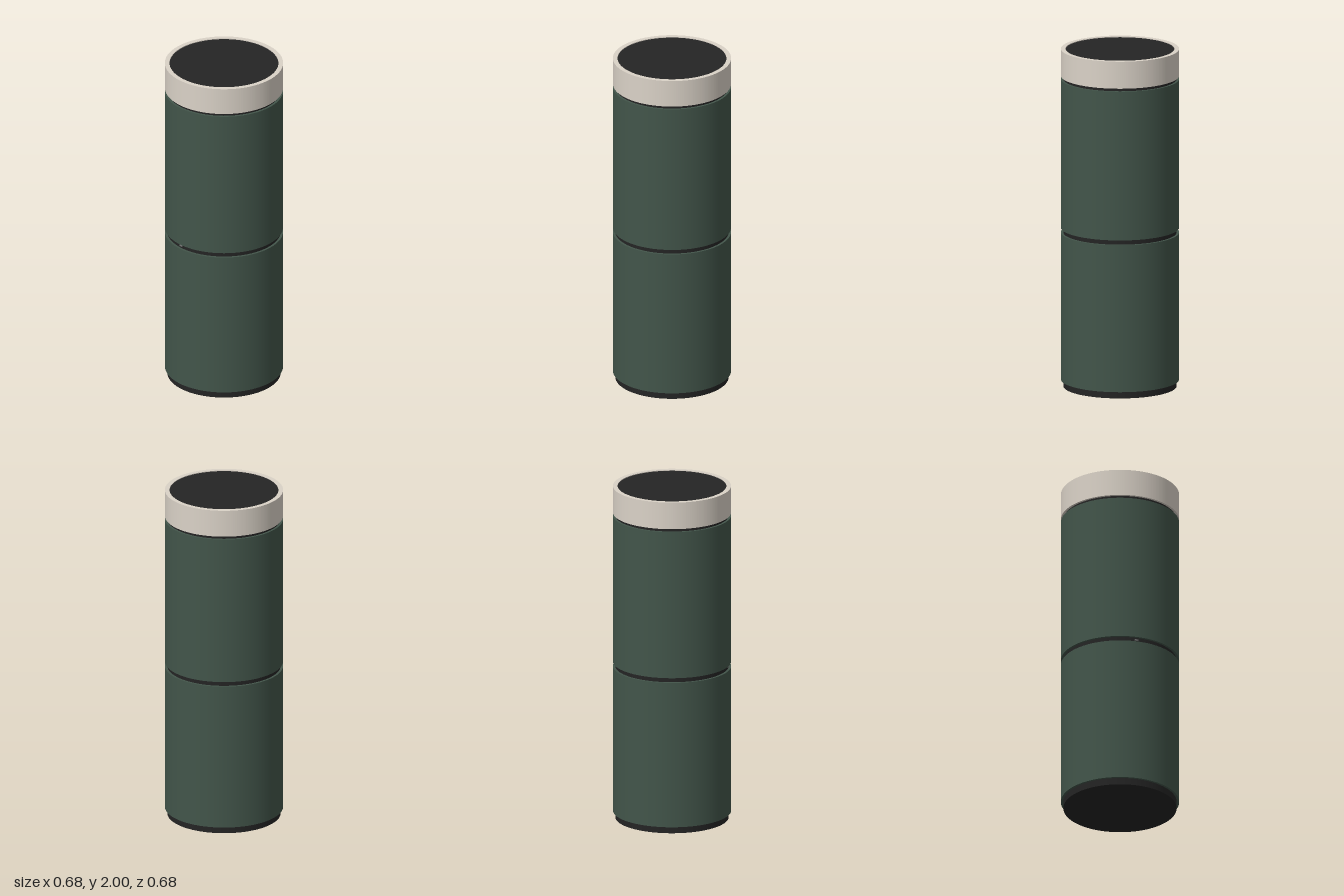
import * as THREE from 'three';

const R = 0.342, CORE = 0.328, SEG = 96;

export function createModel() {
  const model = new THREE.Group();
  const mat = (name, color) => {
    const m = new THREE.MeshStandardMaterial({ color });
    m.name = name;
    return m;
  };
  const green = mat('dark green', 0x42554a);
  const cream = mat('warm cream', 0xdad2c7);
  const black = mat('soft black', 0x242424);
  const grey = mat('grey', 0x777777);

  const add = (name, geometry, material) => {
    const mesh = new THREE.Mesh(geometry, material);
    mesh.name = name;
    model.add(mesh);
    return mesh;
  };
  const drum = (name, radius, y0, y1, material) => {
    add(name, new THREE.CylinderGeometry(radius, radius, y1 - y0, SEG), material)
      .position.y = (y0 + y1) / 2;
  };

  // Dark foot and recessed seams between the sleeves
  drum('foot', CORE, 0, 0.045, black);
  drum('middleSeam', CORE, 0.905, 0.945, black);
  drum('upperSeam', CORE, 1.815, 1.845, black);

  // Two green body sleeves
  drum('lowerBody', R, 0.04, 0.912, green);
  drum('upperBody', R, 0.94, 1.822, green);

  // Cream collar, an open ring with crisp edges
  const ring = new THREE.Shape().absarc(0, 0, R, 0, Math.PI * 2);
  ring.holes.push(new THREE.Path().absarc(0, 0, 0.315, 0, Math.PI * 2, true));
  const collar = new THREE.ExtrudeGeometry(ring, { depth: 0.16, bevelEnabled: false, curveSegments: SEG });
  collar.rotateX(-Math.PI / 2);
  add('collar', collar, cream).position.y = 1.84;

  // Dark lid panel set just below the rim
  drum('lidPanel', 0.315, 1.84, 1.996, black);

  // Tiny indicator in the front of the middle seam
  add('indicator', new THREE.BoxGeometry(0.02, 0.008, 0.006), grey)
    .position.set(0, 0.926, CORE + 0.001);

  return model;
}
